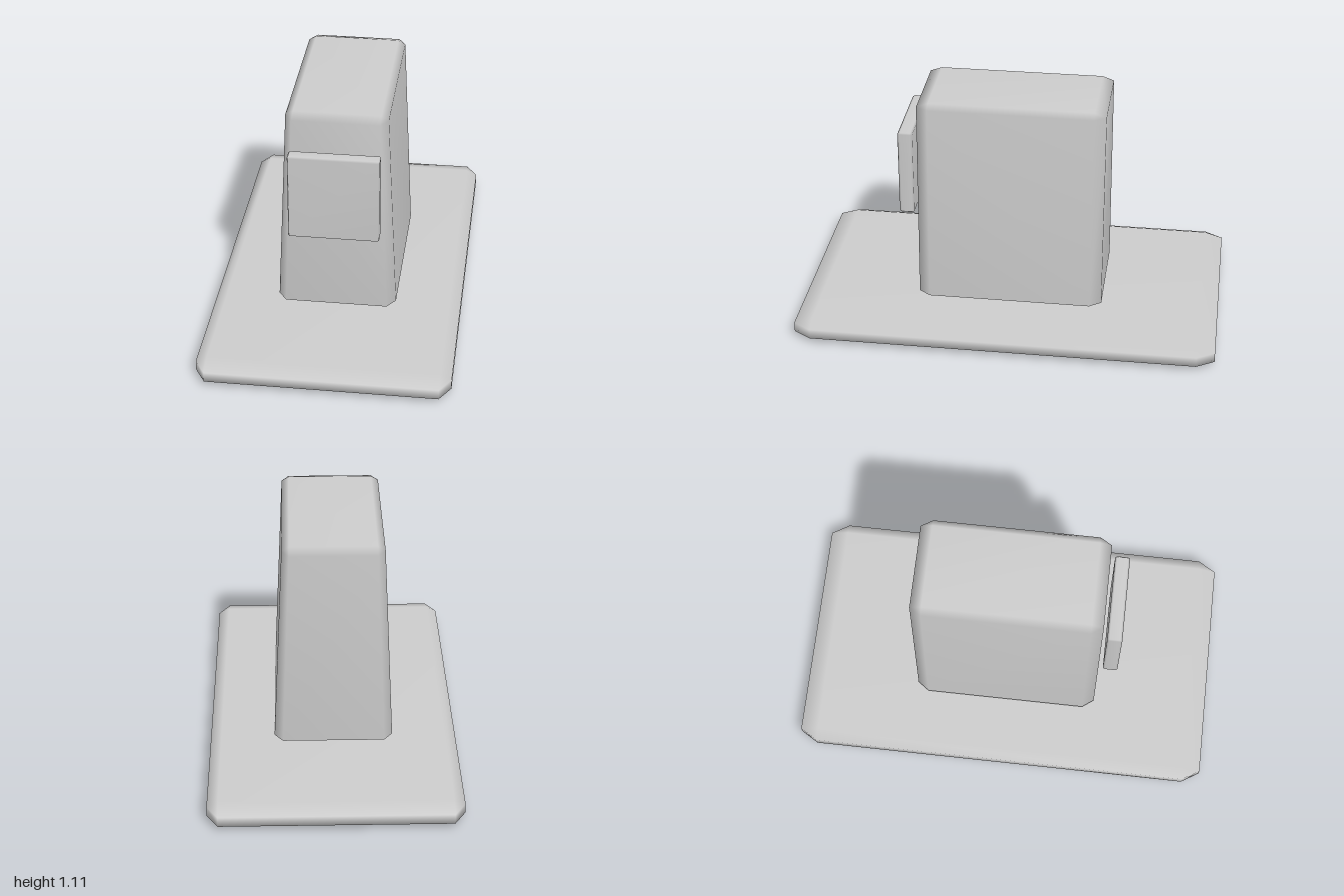
import * as THREE from 'three';
import { ConvexGeometry } from 'three/addons/geometries/ConvexGeometry.js';
import { mergeVertices } from 'three/addons/utils/BufferGeometryUtils.js';

// Box with single-step bevels and smooth normals.
// size and bevel are [x, y, z]; taper narrows x towards the top.
function bevelBox(size, bevel, taper = 0) {
  const [hx, hy, hz] = size.map((s) => s / 2);
  const [bx, by, bz] = bevel;
  const points = [];
  for (const sx of [-1, 1]) for (const sy of [-1, 1]) for (const sz of [-1, 1]) {
    for (const [x, y, z] of [
      [hx, hy - by, hz - bz],
      [hx - bx, hy, hz - bz],
      [hx - bx, hy - by, hz],
    ]) {
      const narrow = 1 - taper * sy * y / hy;
      points.push(new THREE.Vector3(sx * x * narrow, sy * y, sz * z));
    }
  }
  const hull = new ConvexGeometry(points);
  hull.deleteAttribute('normal');
  const geometry = mergeVertices(hull, 1e-4);
  geometry.computeVertexNormals();
  return geometry;
}

export function createModel() {
  const model = new THREE.Group();
  model.name = 'pedestalWithPanel';
  const grey = new THREE.MeshStandardMaterial({ color: 0xcccccc });
  grey.name = 'light grey';

  const add = (name, geometry, y, z) => {
    const mesh = new THREE.Mesh(geometry, grey);
    mesh.name = name;
    mesh.position.set(0, y, z);
    model.add(mesh);
  };

  // Flat base slab
  add('basePlate', bevelBox([1.17, 0.1, 2], [0.052, 0.026, 0.085]), 0.05, 0);
  // Tapered block standing on the slab
  add('body', bevelBox([0.515, 1.013, 0.884], [0.037, 0.02, 0.055], 0.09), 0.6065, 0);
  // Plate floating just ahead of the block
  add('frontPanel', bevelBox([0.42, 0.42, 0.07], [0.006, 0.006, 0.01]), 0.744, 0.499);

  return model;
}
